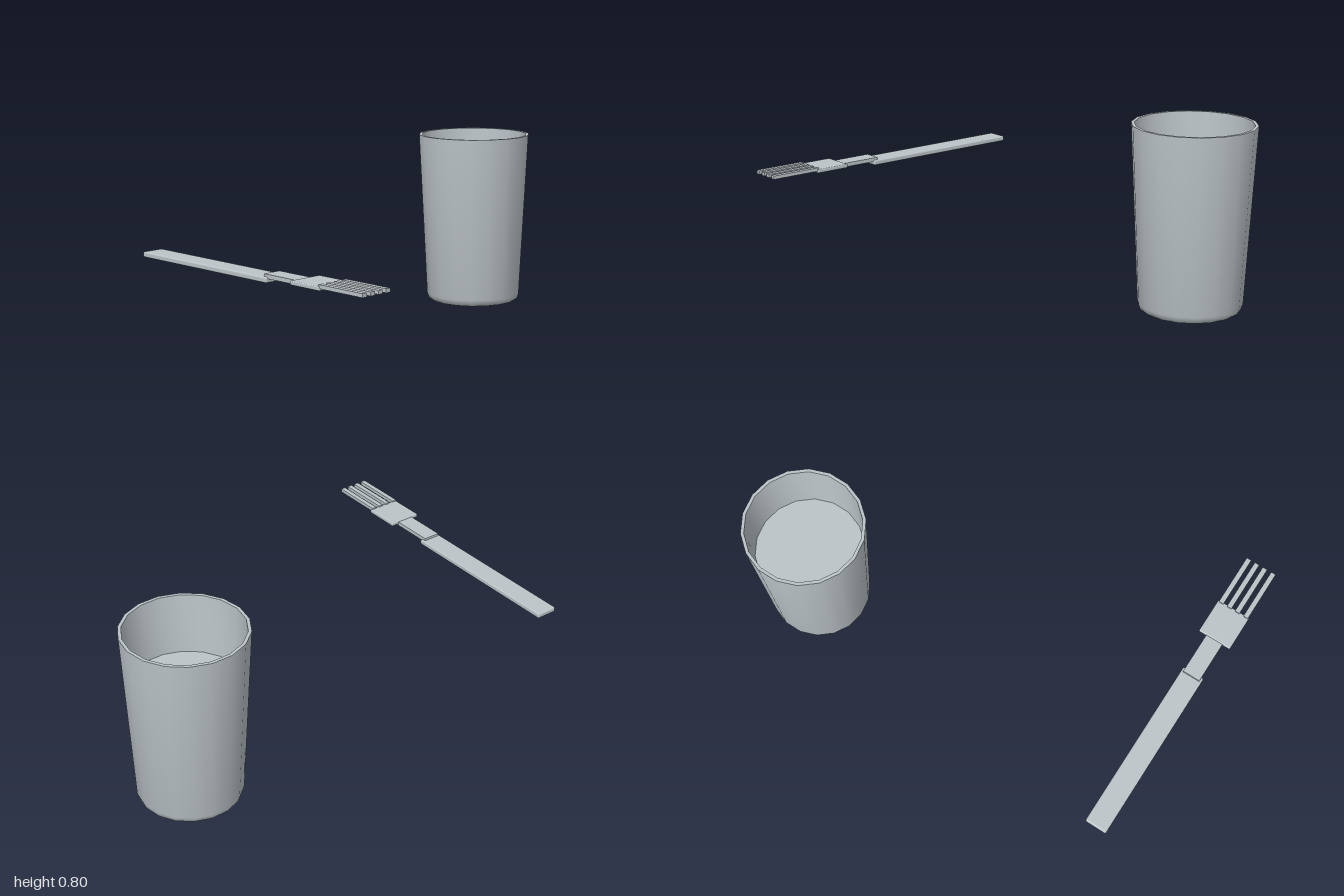
import * as THREE from 'three';
import { RoundedBoxGeometry } from 'three/addons/geometries/RoundedBoxGeometry.js';
import { toCreasedNormals } from 'three/addons/utils/BufferGeometryUtils.js';

export function createModel() {
  const model = new THREE.Group();
  model.name = 'cupAndFork';
  const grey = new THREE.MeshStandardMaterial({ color: 0xbcc4c8 });
  grey.name = 'paleGrey';

  function add(parent, name, geometry) {
    const mesh = new THREE.Mesh(geometry, grey);
    mesh.name = name;
    parent.add(mesh);
    return mesh;
  }

  // Tapered cup: base, softened foot, outer wall, rim, inner wall, inner floor
  const profile = [
    [0, 0], [0.205, 0], [0.216, 0.008], [0.223, 0.03], [0.262, 0.795],
    [0.248, 0.795], [0.236, 0.53], [0, 0.53],
  ].map(([r, y]) => new THREE.Vector2(r, y));
  const cup = add(model, 'cup',
    toCreasedNormals(new THREE.LatheGeometry(profile, 18, Math.PI / 2), 0.85));
  cup.position.set(0.736, 0, -0.35);

  // Fork lying flat, each piece stepping up towards the tips
  const fork = new THREE.Group();
  fork.name = 'fork';
  model.add(fork);

  // Bar given by its limits on each axis, with slightly softened edges
  function bar(name, [x0, x1], [y0, y1], [z0, z1], radius) {
    const geometry = radius
      ? new RoundedBoxGeometry(x1 - x0, y1 - y0, z1 - z0, 2, radius)
      : new THREE.BoxGeometry(x1 - x0, y1 - y0, z1 - z0);
    add(fork, name, geometry)
      .position.set((x0 + x1) / 2, (y0 + y1) / 2, (z0 + z1) / 2);
  }

  bar('handle', [-0.973, -0.873], [0.387, 0.411], [-0.68, 0.113], 0.007);
  bar('neck', [-0.963, -0.883], [0.404, 0.422], [0.09, 0.295], 0);
  bar('head', [-1, -0.846], [0.409, 0.427], [0.283, 0.449], 0.005);
  for (const x of [-0.985, -0.943, -0.903, -0.863]) {
    bar('tine', [x - 0.011, x + 0.011], [0.418, 0.434], [0.44, 0.68], 0);
  }

  return model;
}
